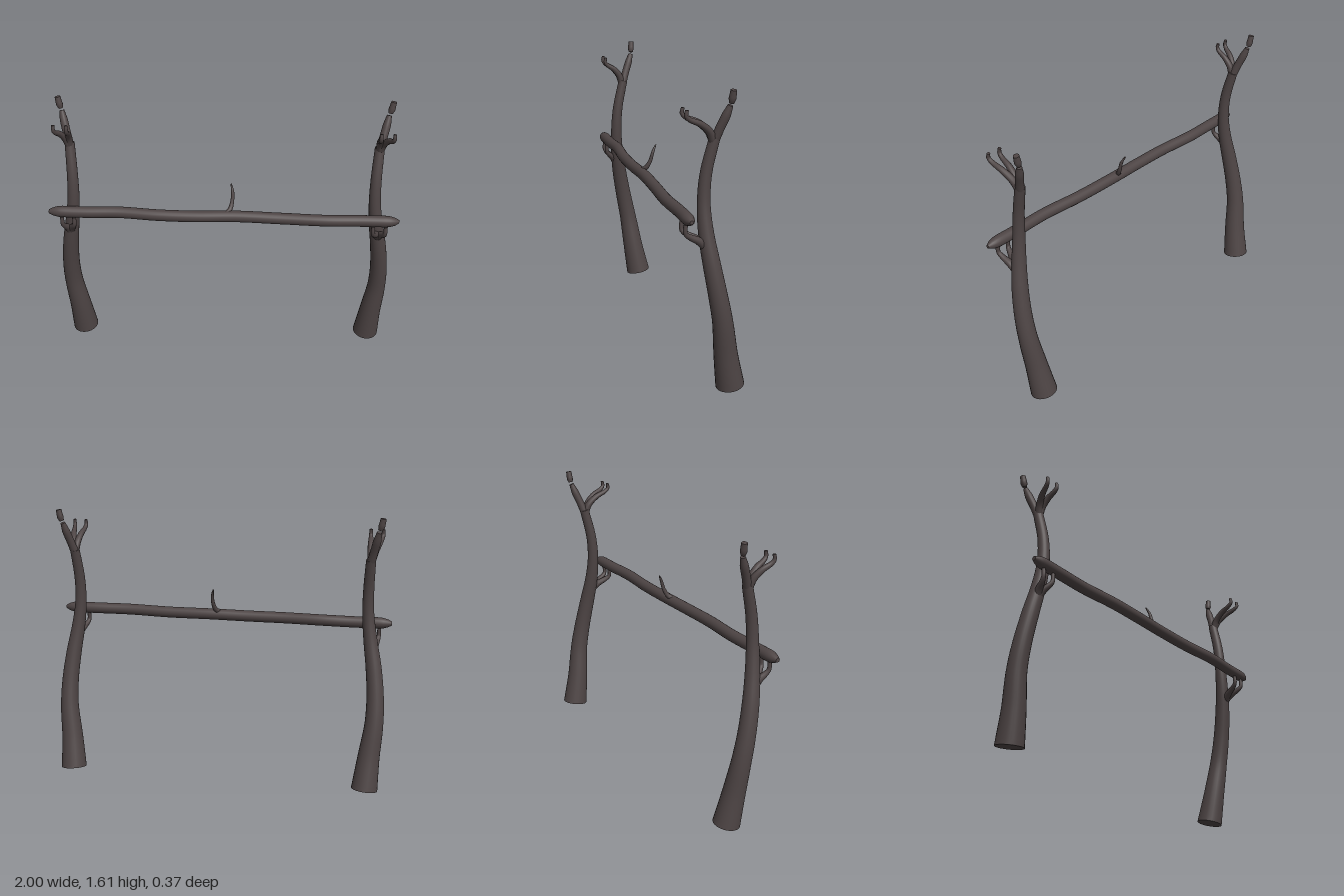
import * as THREE from 'three';
import { mergeGeometries } from 'three/addons/utils/BufferGeometryUtils.js';

const bark = new THREE.MeshStandardMaterial({ color: 0x4d4444 });
bark.name = 'darkBark';

// Tapered limb through points [x, y, z, radius], closed with a disc at each end
function limb(name, pts, segments, sides = 16) {
  const path = new THREE.CatmullRomCurve3(pts.map(p => new THREE.Vector3(p[0], p[1], p[2])));
  const tube = new THREE.TubeGeometry(path, segments, 1, sides);
  const pos = tube.attributes.position, nor = tube.attributes.normal;
  const radiusAt = u => {
    const t = path.getUtoTmapping(u) * (pts.length - 1);
    const i = Math.min(Math.floor(t), pts.length - 2);
    return THREE.MathUtils.lerp(pts[i][3], pts[i + 1][3], t - i);
  };
  for (let i = 0; i <= segments; i++) {
    const k = radiusAt(i / segments) - 1;
    for (let j = 0; j <= sides; j++) {
      const v = i * (sides + 1) + j;
      pos.setXYZ(v, pos.getX(v) + nor.getX(v) * k, pos.getY(v) + nor.getY(v) * k, pos.getZ(v) + nor.getZ(v) * k);
    }
  }
  tube.computeVertexNormals();
  // Weld the normals along the seam
  const n = tube.attributes.normal, a = new THREE.Vector3(), b = new THREE.Vector3();
  for (let i = 0; i <= segments; i++) {
    const v = i * (sides + 1), w = v + sides;
    a.fromBufferAttribute(n, v).add(b.fromBufferAttribute(n, w)).normalize();
    n.setXYZ(v, a.x, a.y, a.z);
    n.setXYZ(w, a.x, a.y, a.z);
  }
  const caps = [0, 1].map(u => {
    const dir = path.getTangentAt(u).multiplyScalar(u ? 1 : -1);
    const disc = new THREE.CircleGeometry(radiusAt(u), sides);
    disc.applyQuaternion(new THREE.Quaternion().setFromUnitVectors(new THREE.Vector3(0, 0, 1), dir));
    const c = path.getPointAt(u);
    return disc.translate(c.x, c.y, c.z);
  });
  const mesh = new THREE.Mesh(mergeGeometries([tube, ...caps]), bark);
  mesh.name = name;
  return mesh;
}

// One forked upright; s is its side, dz shifts it forward
function post(s, dz) {
  const g = new THREE.Group();
  g.name = s > 0 ? 'leftPost' : 'rightPost';
  const add = (name, pts, seg, sides) =>
    g.add(limb(name, pts.map(([x, y, z, r]) => [s * x, y, z, r]), seg, sides));

  add('trunk', [
    [0.895, 0.014, -0.112 + dz, 0.077], [0.91, 0.2, -0.08 + dz, 0.064], [0.931, 0.4, -0.052 + dz, 0.054],
    [0.93, 0.55, -0.024 + dz, 0.05], [0.912, 0.72, 0.007 + dz, 0.046], [0.885, 0.88, 0.03 + dz, 0.04],
    [0.866, 1.03, 0.037 + dz, 0.034], [0.863, 1.18, 0.026 + dz, 0.031], [0.872, 1.36, -0.014 + dz, 0.028],
  ], 40, 24);

  // Rear fork with a separate broken tip
  add('rearFork', [
    [0.871, 1.34, -0.012 + dz, 0.024], [0.888, 1.41, -0.035 + dz, 0.023],
    [0.904, 1.475, -0.06 + dz, 0.023], [0.915, 1.527, -0.078 + dz, 0.014],
  ], 12);
  add('rearForkTip', [
    [0.92, 1.539, -0.081 + dz, 0.013], [0.926, 1.56, -0.083 + dz, 0.019], [0.935, 1.605, -0.086 + dz, 0.016],
  ], 6);

  // Upper and lower pairs of hooked prongs reaching forward
  for (const tipX of [0.857, 0.928]) {
    const x = (base, f) => base + (tipX - base) * f;
    const z = (base, f) => base + dz + (0.15 - base - dz) * f;
    add('upperProng', [
      [x(0.872, 0), 1.335, z(-0.008, 0), 0.022], [x(0.872, 0.3), 1.395, z(-0.008, 0.17), 0.02],
      [x(0.872, 0.65), 1.44, z(-0.008, 0.5), 0.017], [x(0.872, 0.9), 1.468, z(-0.008, 0.88), 0.013],
      [x(0.872, 1), 1.488, z(-0.008, 1.01), 0.011], [x(0.872, 1), 1.517, z(-0.008, 0.98), 0.009],
    ], 20, 12);
    add('lowerProng', [
      [x(0.9, 0), 0.8, z(0.035, 0), 0.022], [x(0.9, 0.35), 0.842, z(0.035, 0.35), 0.021],
      [x(0.9, 0.7), 0.868, z(0.035, 0.75), 0.016], [x(0.9, 0.95), 0.892, z(0.035, 1), 0.012],
      [x(0.9, 1), 0.94, z(0.035, 1), 0.011],
    ], 16, 12);
  }
  return g;
}

export function createModel() {
  const model = new THREE.Group();
  model.name = 'branchRack';
  model.add(post(1, 0), post(-1, 0.045));

  // Slightly crooked crossbar with pointed ends
  model.add(limb('crossbar', [
    [-1, 0.972, 0.147, 0.012], [-0.985, 0.972, 0.147, 0.02], [-0.94, 0.972, 0.146, 0.033],
    [-0.78, 0.971, 0.143, 0.033], [-0.6, 0.973, 0.136, 0.033], [-0.37, 0.971, 0.151, 0.033],
    [-0.15, 0.97, 0.15, 0.033], [0.08, 0.973, 0.14, 0.033], [0.34, 0.97, 0.143, 0.033],
    [0.59, 0.972, 0.154, 0.033], [0.8, 0.972, 0.144, 0.033], [0.94, 0.972, 0.142, 0.033],
    [0.985, 0.972, 0.14, 0.02], [1, 0.972, 0.14, 0.01],
  ], 80, 20));

  // Thin twig growing from the crossbar
  model.add(limb('twig', [
    [0.02, 0.985, 0.145, 0.018], [0.042, 1.007, 0.118, 0.014], [0.053, 1.05, 0.095, 0.011],
    [0.054, 1.1, 0.08, 0.009], [0.044, 1.14, 0.06, 0.004],
  ], 16, 10));
  return model;
}
